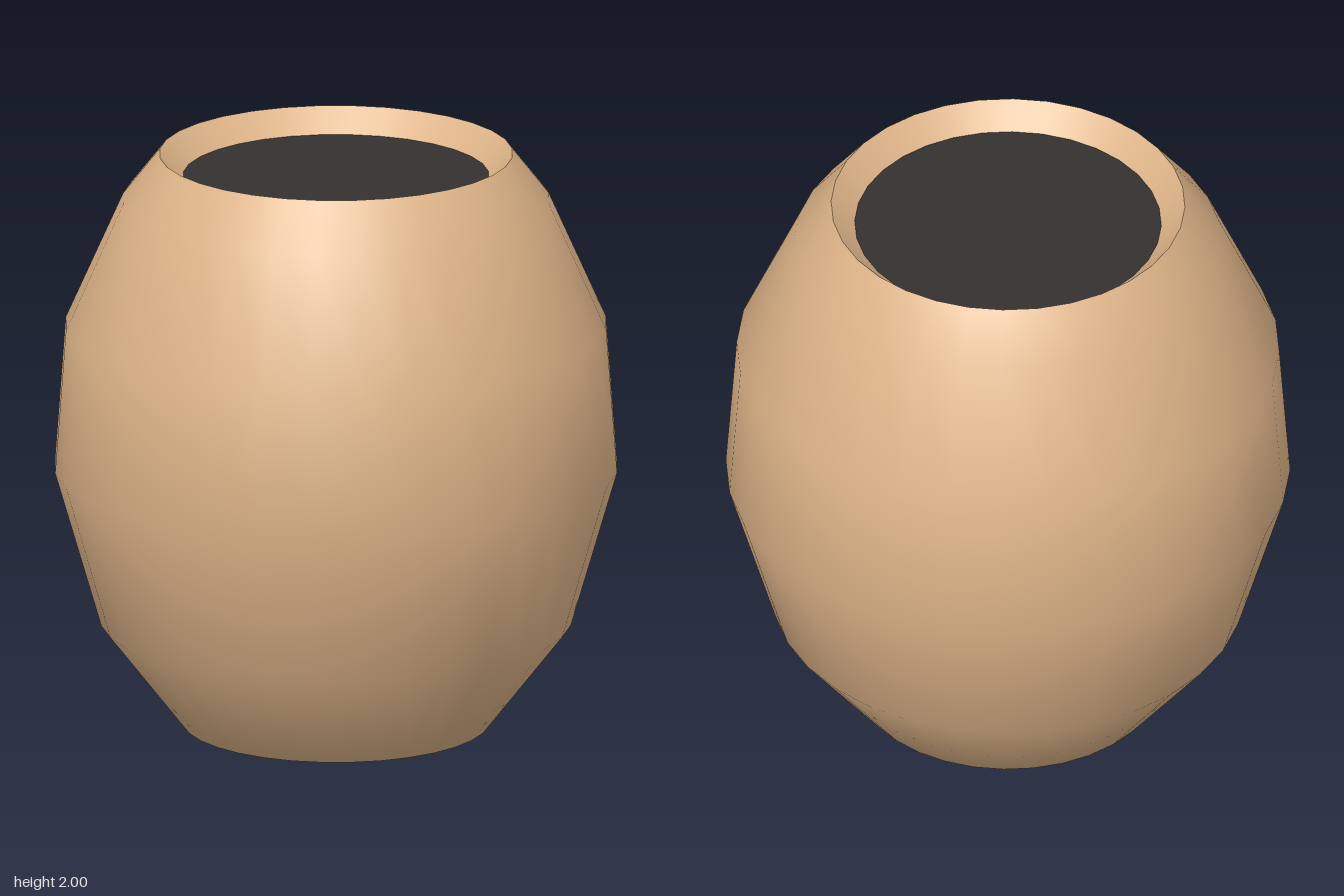
import * as THREE from 'three';

const SIDES = 32;

// Revolve a profile of [radius, height] pairs, listed so the outside faces out
function revolve(name, profile, material) {
  const points = profile.map(([r, y]) => new THREE.Vector2(r, y));
  const mesh = new THREE.Mesh(new THREE.LatheGeometry(points, SIDES), material);
  mesh.name = name;
  return mesh;
}

export function createModel() {
  const group = new THREE.Group();
  group.name = 'barrelPot';

  const tan = new THREE.MeshStandardMaterial({ color: 0xdeb488 });
  const dark = new THREE.MeshStandardMaterial({ color: 0x333230 });

  // Bulging wall, shaded smoothly into the flat base
  group.add(revolve('body', [
    [0, 0], [0.52, 0], [0.8, 0.36], [0.957, 0.9], [0.92, 1.4], [0.725, 1.84], [0.6, 2],
  ], tan));

  // Sharp-edged bevel sloping down into the mouth
  group.add(revolve('rim', [[0.6, 2], [0.52, 1.92]], tan));

  // Dark surface filling the mouth
  const filling = new THREE.Mesh(new THREE.CircleGeometry(0.52, SIDES).rotateX(-Math.PI / 2), dark);
  filling.position.y = 1.92;
  filling.name = 'filling';
  group.add(filling);

  return group;
}
